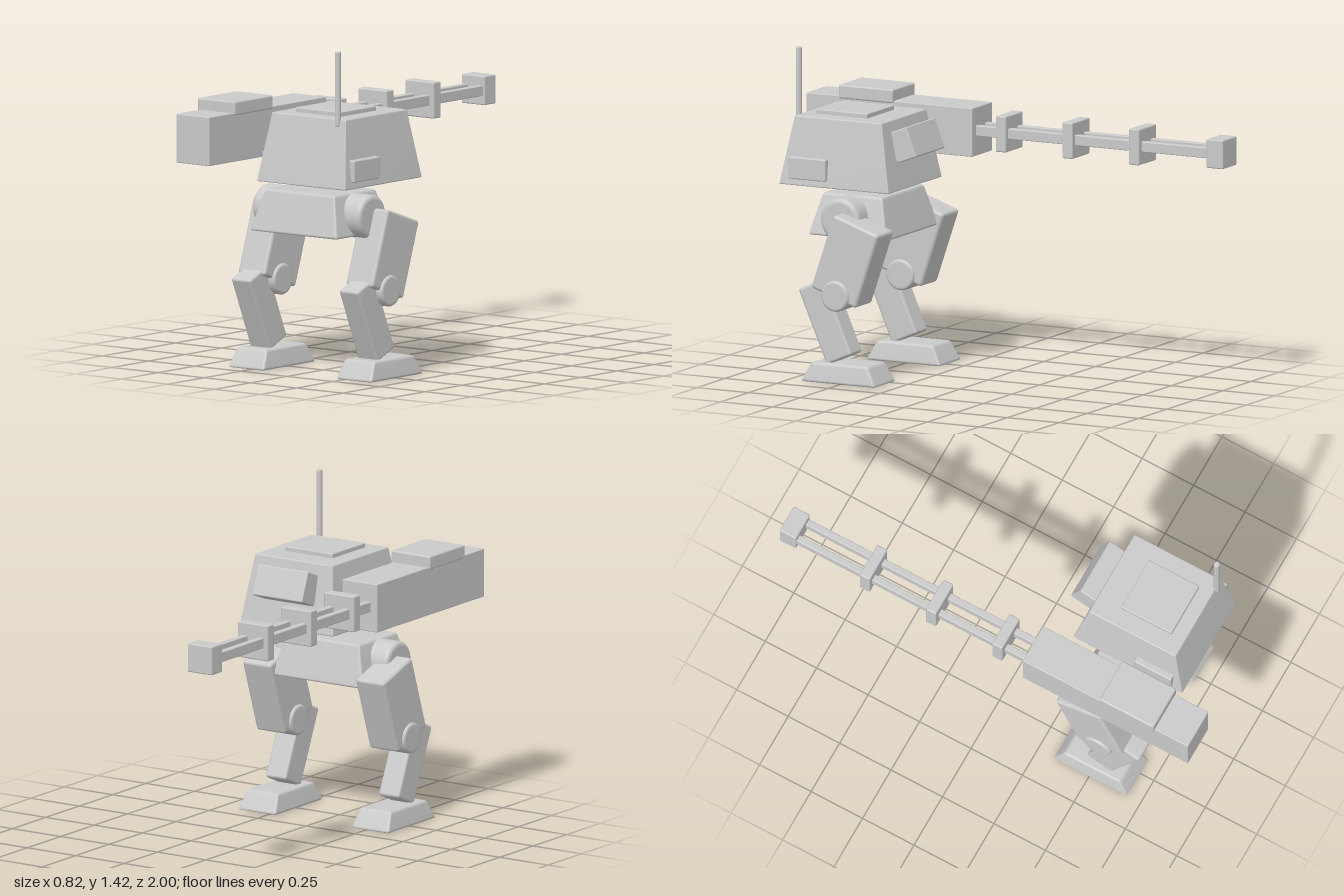
import * as THREE from 'three';
import { mergeVertices } from 'three/addons/utils/BufferGeometryUtils.js';
import { RoundedBoxGeometry } from 'three/addons/geometries/RoundedBoxGeometry.js';

const grey = new THREE.MeshStandardMaterial({ color: 0xcacaca });
grey.name = 'plain grey';

function add(parent, name, geometry, x, y, z, tilt = 0) {
  const mesh = new THREE.Mesh(geometry, grey);
  mesh.name = name;
  mesh.position.set(x, y, z);
  mesh.rotation.x = tilt;
  parent.add(mesh);
  return mesh;
}

// Box with softened edges
const box = (w, h, d, r = 0.006) => new RoundedBoxGeometry(w, h, d, 2, r);

// Softened box whose top is narrowed to topW x topD
function taperedBox(w, h, d, topW, topD, r) {
  let g = box(w, h, d, r);
  const p = g.attributes.position;
  for (let i = 0; i < p.count; i++) {
    const t = p.getY(i) / h + 0.5;
    p.setX(i, p.getX(i) * (1 + t * (topW / w - 1)));
    p.setZ(i, p.getZ(i) * (1 + t * (topD / d - 1)));
  }
  g.deleteAttribute('normal');
  g.deleteAttribute('uv');
  g = mergeVertices(g);
  g.computeVertexNormals();
  return g;
}

// Cylinder along x with rounded rims
function joint(radius, length, r) {
  const h = length / 2;
  const pts = [new THREE.Vector2(0, -h), new THREE.Vector2(radius - r - 0.002, -h)];
  for (const side of [-1, 1]) {
    for (let i = 0; i <= 4; i++) {
      const a = (side < 0 ? 4 - i : i) * Math.PI / 8;
      pts.push(new THREE.Vector2(radius - r + r * Math.cos(a), side * (h - r + r * Math.sin(a))));
    }
    if (side < 0) pts.push(new THREE.Vector2(radius, -h + r + 0.002), new THREE.Vector2(radius, h - r - 0.002));
  }
  pts.push(new THREE.Vector2(radius - r - 0.002, h), new THREE.Vector2(0, h));
  return new THREE.LatheGeometry(pts, 40).rotateZ(-Math.PI / 2);
}

function group(parent, name) {
  const g = new THREE.Group();
  g.name = name;
  parent.add(g);
  return g;
}

export function createModel() {
  const model = new THREE.Group();
  model.name = 'walker';

  // Cabin with hatch, side boxes, rear pack and aerial
  const cabin = group(model, 'cabin');
  const cx = 0.125;
  add(cabin, 'hull', taperedBox(0.48, 0.295, 0.53, 0.4, 0.42, 0.006), cx, 0.9825, 0.548);
  add(cabin, 'hatch', box(0.245, 0.04, 0.245, 0.005), cx, 1.13, 0.573);
  for (const s of [-1, 1]) {
    add(cabin, s > 0 ? 'leftSideBox' : 'rightSideBox', box(0.05, 0.095, 0.18), cx + s * 0.225, 0.911, 0.673);
  }
  add(cabin, 'rearPack', box(0.26, 0.135, 0.1), cx, 1.03, 0.28, 0.37);
  add(cabin, 'aerial', joint(0.013, 0.32, 0.004).rotateZ(Math.PI / 2), 0.284, 1.26, 0.76);

  // Long gun on the right side
  const gun = group(model, 'gun');
  const gx = -0.313, gy = 1.018;
  add(gun, 'receiver', box(0.18, 0.21, 0.803, 0.004), gx, 1.015, 0.5985);
  add(gun, 'receiverCover', box(0.203, 0.06, 0.263, 0.008), gx, 1.14, 0.707);
  for (const s of [-1, 1]) {
    add(gun, 'barrelRail', box(0.03, 0.045, 1.18, 0.004), gx + s * 0.041, gy, -0.38);
  }
  for (let i = 0; i < 3; i++) {
    add(gun, 'barrelClamp', box(0.156, 0.156, 0.05), gx, gy, 0.066 - i * 0.322);
  }
  add(gun, 'muzzle', box(0.126, 0.125, 0.08), gx, gy, -0.96);

  // Pelvis and hip axle
  const lx = 0.018;
  const pelvis = group(model, 'pelvis');
  add(pelvis, 'pelvisBlock', taperedBox(0.475, 0.18, 0.38, 0.375, 0.285, 0.012), lx, 0.695, 0.543);
  add(pelvis, 'hipAxle', joint(0.094, 0.585, 0.018), lx, 0.689, 0.551);

  // Two matching legs
  for (const s of [-1, 1]) {
    const leg = group(model, s > 0 ? 'leftLeg' : 'rightLeg');
    leg.position.x = lx + s * 0.292;
    add(leg, 'thigh', box(0.148, 0.342, 0.23, 0.014), 0, 0.529, 0.487, -0.328);
    add(leg, 'knee', joint(0.067, 0.17, 0.012), 0, 0.377, 0.53);
    add(leg, 'shin', box(0.106, 0.345, 0.132, 0.012), 0, 0.256, 0.594, 0.41);
    add(leg, 'foot', taperedBox(0.196, 0.085, 0.362, 0.16, 0.27, 0.012), 0, 0.0425, 0.507);
  }
  return model;
}
